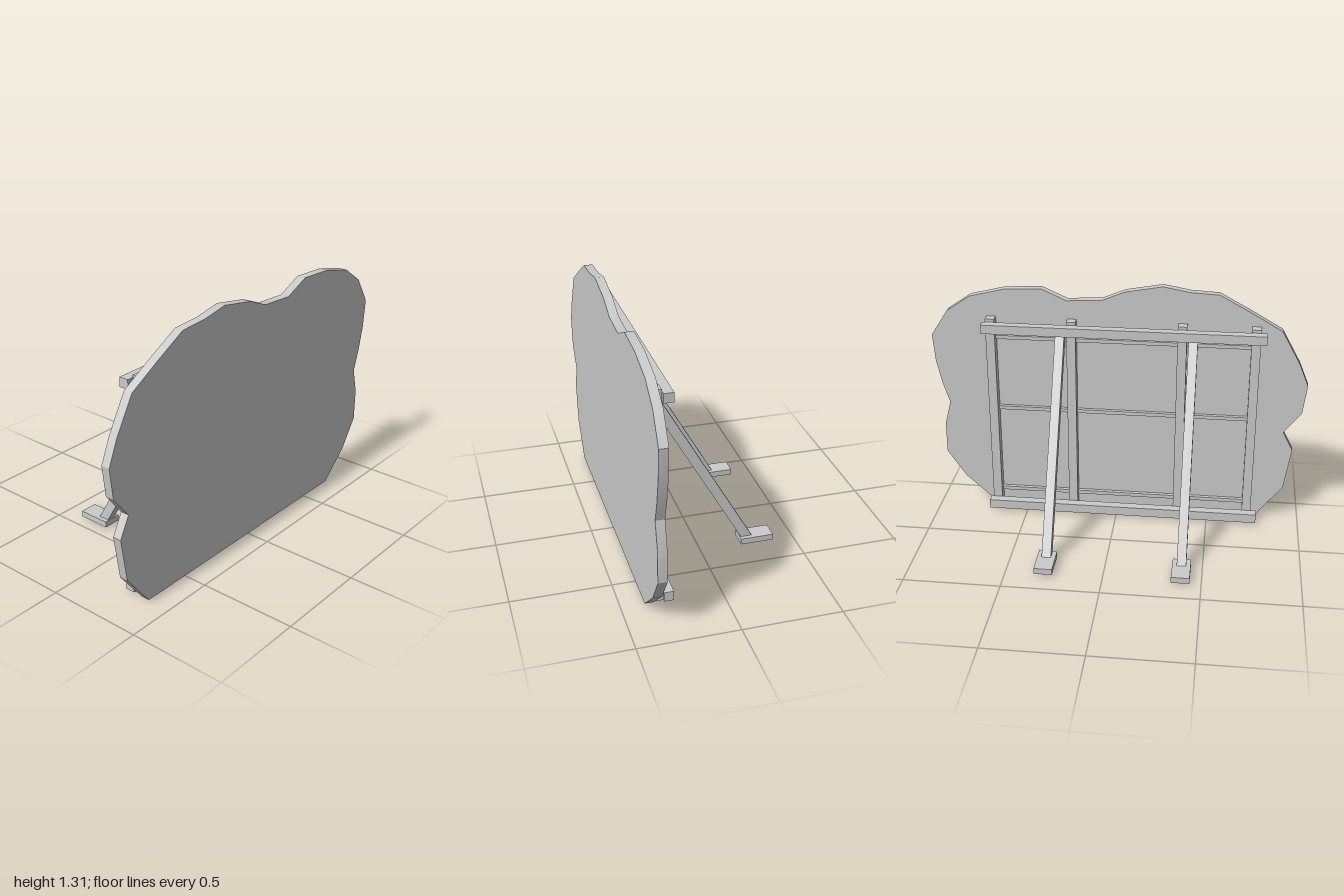
import * as THREE from 'three';
import { toCreasedNormals } from 'three/addons/utils/BufferGeometryUtils.js';

const material = new THREE.MeshStandardMaterial({ color: 0xcccccc });

// Box given by its min and max on each axis
function box(name, [x0, x1], [y0, y1], [z0, z1]) {
  const mesh = new THREE.Mesh(new THREE.BoxGeometry(x1 - x0, y1 - y0, z1 - z0), material);
  mesh.position.set((x0 + x1) / 2, (y0 + y1) / 2, (z0 + z1) / 2);
  mesh.name = name;
  return mesh;
}

// Flat panel with a cloud- or bush-like outline
function createPanel() {
  const outline = [
    [-0.77, 0.01], [0.70, 0.01], [0.86, 0.155], [0.96, 0.305], [0.96, 0.475], [0.925, 0.61],
    [0.96, 0.72], [0.988, 0.85], [1, 1], [0.91, 1.14], [0.785, 1.225], [0.6, 1.27],
    [0.405, 1.28], [0.27, 1.22], [0.085, 1.23], [-0.035, 1.28], [-0.23, 1.315], [-0.37, 1.29],
    [-0.52, 1.282], [-0.69, 1.19], [-0.85, 1.098], [-0.95, 0.92], [-1, 0.8], [-0.98, 0.64],
    [-0.89, 0.525], [-0.945, 0.42], [-0.91, 0.19],
  ].map(([x, y]) => new THREE.Vector2(x, y));
  const geometry = new THREE.ExtrudeGeometry(new THREE.Shape(outline), { depth: 0.045, bevelEnabled: false });
  const panel = new THREE.Mesh(toCreasedNormals(geometry, 0.5), material);
  panel.position.z = 0.34;
  panel.name = 'panel';
  return panel;
}

// Slanted beam running from the panel down to its foot
function createBrace(x) {
  const top = new THREE.Vector3(x, 1.03, 0.317);
  const bottom = new THREE.Vector3(x, 0.013, -0.264);
  const brace = new THREE.Mesh(new THREE.BoxGeometry(0.048, 0.05, top.distanceTo(bottom)), material);
  brace.position.addVectors(top, bottom).multiplyScalar(0.5);
  brace.lookAt(top);
  brace.name = 'brace';
  return brace;
}

export function createModel() {
  const group = new THREE.Group();
  group.name = 'standingPanel';
  group.add(createPanel());

  // Upright posts on the back of the panel
  for (const x of [-0.717, -0.337, 0.243, 0.672]) {
    group.add(box('post', [x - 0.024, x + 0.024], [0.01, 1.12], [0.29, 0.34]));
  }

  // Thin battens between the outer posts
  for (const y of [0.1, 0.6, 1.01]) {
    group.add(box('batten', [-0.717, 0.672], [y - 0.01, y + 0.01], [0.32, 0.34]));
  }

  // Long rails across the posts
  group.add(box('topRail', [-0.77, 0.71], [1.057, 1.105], [0.238, 0.287]));
  group.add(box('bottomRail', [-0.77, 0.71], [0.01, 0.06], [0.243, 0.292]));

  // Braces with flat feet
  for (const x of [-0.394, 0.303]) {
    group.add(createBrace(x));
    group.add(box('foot', [x - 0.047, x + 0.047], [0.01, 0.042], [-0.385, -0.213]));
  }
  return group;
}
